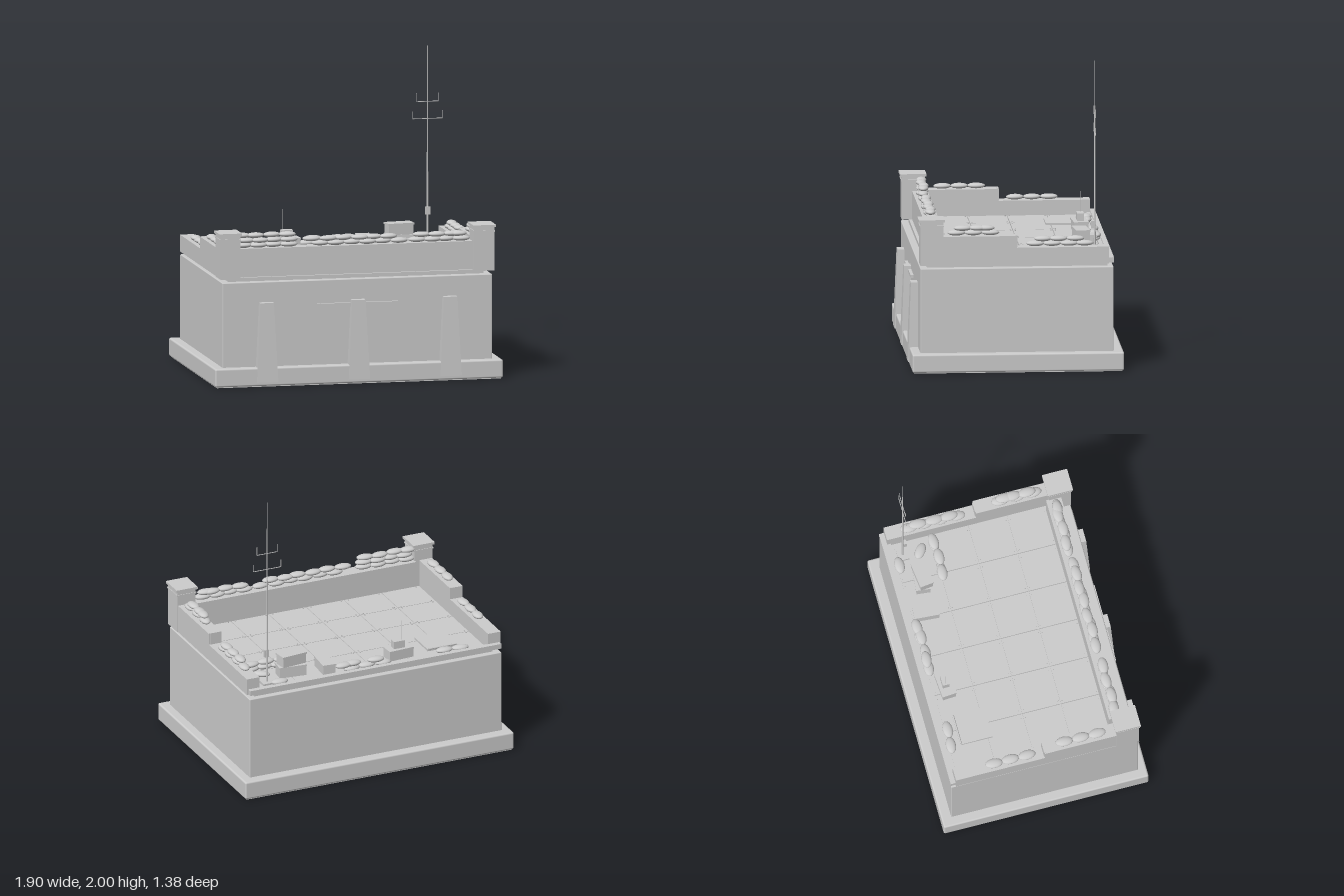
import * as THREE from 'three';
import { RoundedBoxGeometry } from 'three/addons/geometries/RoundedBoxGeometry.js';

export function createModel() {
  const model = new THREE.Group();
  const concrete = new THREE.MeshStandardMaterial({ color: 0xcccccc });
  concrete.name = 'concrete grey';

  const add = (name, geometry, x = 0, y = 0, z = 0, turn = 0, parent = model) => {
    const mesh = new THREE.Mesh(geometry, concrete);
    mesh.name = name;
    mesh.position.set(x, y, z);
    mesh.rotation.y = turn;
    parent.add(mesh);
    return mesh;
  };
  // Box given by its extents on each axis
  const block = (name, x0, x1, y0, y1, z0, z1) =>
    add(name, new THREE.BoxGeometry(x1 - x0, y1 - y0, z1 - z0),
      (x0 + x1) / 2, (y0 + y1) / 2, (z0 + z1) / 2);

  // Foundation, main body and roof slab
  add('foundation', new RoundedBoxGeometry(1.905, 0.12, 1.37, 2, 0.012), 0, 0.065, -0.005);
  block('foundationSole', -0.94, 0.94, 0, 0.02, -0.68, 0.67);
  add('bunkerBody', new RoundedBoxGeometry(1.785, 0.575, 1.25, 2, 0.006), 0, 0.39, 0);
  block('roofSlab', -0.845, 0.845, 0.67, 0.702, -0.59, 0.58);

  // Tapered buttress: wide foot, narrow head, sloping front
  const buttress = new THREE.BoxGeometry(1, 1, 1);
  const p = buttress.attributes.position;
  for (let i = 0; i < p.count; i++) {
    const top = p.getY(i) > 0, front = p.getZ(i) > 0;
    p.setXYZ(i, Math.sign(p.getX(i)) * (top ? 0.045 : 0.07), top ? 0.545 : 0.03,
      front ? (top ? 0.67 : 0.69) : 0.6);
  }
  buttress.computeVertexNormals();
  for (const x of [-0.607, 0, 0.607]) add('buttress', buttress, x);
  block('frontLedge', -0.27, 0.265, 0.507, 0.525, 0.6, 0.645);

  // Parapets: tall at the front, stepping down along the sides
  block('frontParapet', -0.78, 0.78, 0.7, 0.887, 0.46, 0.56);
  for (const s of [-1, 1]) {
    const span = (name, a, b, ...rest) => block(name, Math.min(s * a, s * b), Math.max(s * a, s * b), ...rest);
    span('highSideParapet', 0.81, 0.9, 0.7, 0.887, 0, 0.48);
    span('lowSideParapet', 0.81, 0.9, 0.7, 0.81, -0.595, 0);
    span('stepCleat', 0.82, 0.89, 0.81, 0.889, -0.004, 0.01);
    span('cornerPost', 0.775, 0.905, 0.7, 0.985, 0.478, 0.627);
    span('postCollar', 0.771, 0.909, 0.953, 0.962, 0.474, 0.631);
    span('postCap', 0.765, 0.915, 0.984, 1.0, 0.468, 0.637);
  }
  block('rearCurb', -0.81, 0.81, 0.7, 0.728, -0.605, -0.57);
  block('rearRail', -0.89, 0.89, 0.705, 0.738, -0.628, -0.595);

  // Roof deck: a grid of thin panels, with bolts in their corners
  const deck = new THREE.Group();
  deck.name = 'roofDeck';
  model.add(deck);
  const panel = new THREE.BoxGeometry(0.263, 0.014, 0.253);
  const bolt = new THREE.CylinderGeometry(0.005, 0.005, 0.005, 6);
  for (let i = 0; i < 6; i++) {
    for (let j = 0; j < 4; j++) {
      const x = (i - 2.5) * 0.267, z = -0.442 + j * 0.258;
      add('deckPanel', panel, x, 0.708, z, 0, deck);
      for (const a of [-1, 1]) for (const b of [-1, 1])
        add('bolt', bolt, x + a * 0.108, 0.717, z + b * 0.115, 0, deck);
    }
  }

  // Roof hatch
  block('hatch', -0.64, -0.43, 0.712, 0.728, -0.49, -0.28);
  const hinge = add('hatchHinge', new THREE.CylinderGeometry(0.006, 0.006, 0.2, 8), -0.535, 0.731, -0.49);
  hinge.rotation.z = Math.PI / 2;

  // Sandbags: flattened ellipsoids
  const bag = new THREE.SphereGeometry(1, 16, 10);
  const sandbag = (x, y, z, turn = 0) =>
    add('sandbag', bag, x, y, z, turn).scale.set(0.058, 0.018, 0.033);
  const rowX = (xs, y, z) => xs.forEach((x, i) => sandbag(x, y, z + (i % 2 ? 0.004 : -0.004), (i % 3 - 1) * 0.06));
  const rowZ = (zs, x, y) => zs.forEach((z, i) => sandbag(x, y, z, Math.PI / 2 + (i % 3 - 1) * 0.06));
  rowX([-0.73, -0.63, -0.53, -0.43], 0.903, 0.51);
  rowX([-0.71, -0.62, -0.53, -0.43], 0.934, 0.51);
  rowX([-0.74, -0.65, -0.54, -0.44], 0.967, 0.508);
  rowX([-0.22, -0.12, -0.01, 0.09, 0.19, 0.3], 0.903, 0.512);
  rowX([-0.28, -0.17, -0.07, 0.04, 0.13, 0.23], 0.932, 0.51);
  rowX([0.42, 0.52, 0.61, 0.71], 0.903, 0.512);
  rowX([0.45, 0.55, 0.65, 0.69], 0.934, 0.508);
  rowZ([-0.33, -0.22, -0.11], -0.855, 0.828);
  rowZ([0.14, 0.25, 0.36], -0.855, 0.905);
  rowZ([-0.44, -0.34, -0.23, -0.12], 0.85, 0.829);
  rowZ([-0.38, -0.27, -0.17], 0.85, 0.86);
  rowZ([0.17, 0.28, 0.39], 0.85, 0.905);
  rowZ([0.2, 0.25, 0.35], 0.85, 0.935);
  rowX([-0.63, -0.52], 0.734, -0.553);
  rowX([-0.08, 0.03, 0.14], 0.734, -0.553);
  rowX([-0.03, 0.13, 0.2], 0.765, -0.555);
  rowX([0.55, 0.64, 0.74], 0.734, -0.3);
  rowX([0.52, 0.63, 0.74], 0.766, -0.3);
  sandbag(0.71, 0.734, -0.4, -0.6);
  sandbag(0.65, 0.734, -0.555);

  // Supply crates with overhanging lids
  const crate = (x, y, z, w, h, d, turn) => {
    const g = new THREE.Group();
    g.name = 'crate';
    g.position.set(x, y, z);
    g.rotation.y = turn;
    model.add(g);
    add('crateBody', new THREE.BoxGeometry(w, h - 0.012, d), 0, (h - 0.012) / 2, 0, 0, g);
    add('crateLid', new THREE.BoxGeometry(w + 0.008, 0.012, d + 0.008), 0, h - 0.006, 0, 0, g);
  };
  crate(-0.225, 0.715, -0.485, 0.17, 0.07, 0.09, 0.07);
  crate(0.29, 0.715, -0.475, 0.085, 0.07, 0.16, -0.07);
  crate(0.52, 0.715, -0.445, 0.18, 0.075, 0.09, -0.1);
  crate(0.515, 0.79, -0.44, 0.17, 0.075, 0.085, 0.12);
  // Field radio on a crate
  block('radio', -0.258, -0.182, 0.785, 0.835, -0.51, -0.465);
  add('radioAerial', new THREE.CylinderGeometry(0.0015, 0.0015, 0.14, 6), -0.247, 0.9, -0.49);

  // Mast with two upturned crossbars
  const mx = 0.72, mz = -0.515;
  block('mastFoot', mx - 0.04, mx + 0.04, 0.712, 0.73, mz - 0.035, mz + 0.035);
  add('mast', new THREE.CylinderGeometry(0.002, 0.007, 1.28, 8), mx, 1.36, mz);
  block('mastBox', mx - 0.016, mx + 0.016, 0.9, 0.95, mz + 0.004, mz + 0.024);
  for (const [y, half, tip] of [[1.525, 0.098, 0.05], [1.637, 0.072, 0.055]]) {
    const bar = add('crossbar', new THREE.CylinderGeometry(0.0025, 0.0025, half * 2, 6), mx, y, mz);
    bar.rotation.z = Math.PI / 2;
    for (const s of [-1, 1])
      add('crossbarTip', new THREE.CylinderGeometry(0.002, 0.002, tip, 6), mx + s * half, y + tip / 2, mz);
  }
  return model;
}
